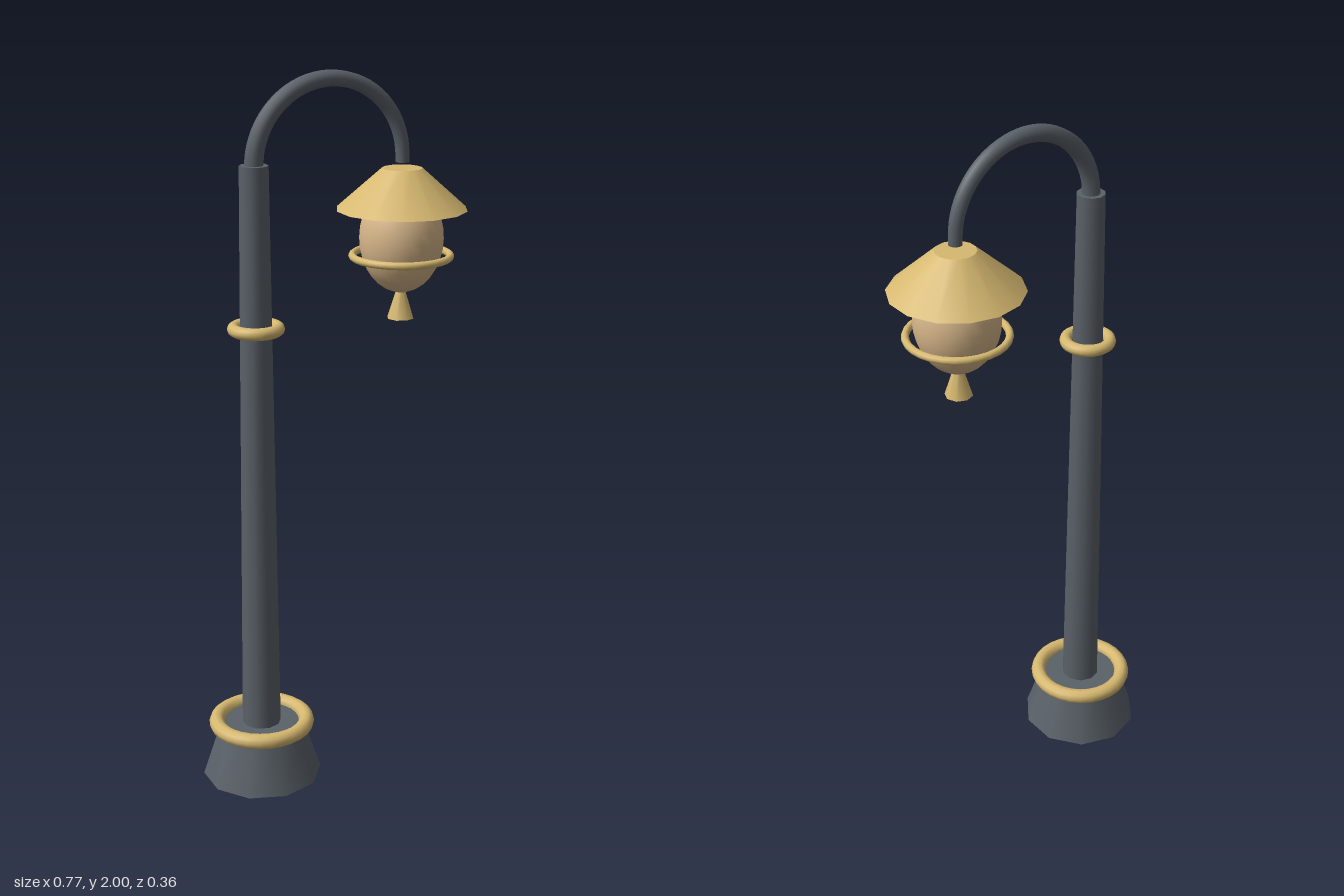
import * as THREE from 'three';

const POLE_X = -0.226, LAMP_X = 0.209;

export function createModel() {
  const model = new THREE.Group();
  model.name = 'streetLamp';
  const iron = new THREE.MeshStandardMaterial({ name: 'dark iron', color: 0x5a6168 });
  const brass = new THREE.MeshStandardMaterial({ name: 'pale brass', color: 0xd6b870 });
  const glass = new THREE.MeshStandardMaterial({ name: 'warm glass', color: 0xd8b78a });

  const add = (name, geometry, material, x, y) => {
    const mesh = new THREE.Mesh(geometry, material);
    mesh.name = name;
    mesh.position.set(x, y, 0);
    model.add(mesh);
    return mesh;
  };
  // Tapered round part standing between two heights
  const taper = (name, material, x, y0, y1, r0, r1, sides) =>
    add(name, new THREE.CylinderGeometry(r1, r0, y1 - y0, sides), material, x, (y0 + y1) / 2);
  // Horizontal ring
  const ring = (name, x, y, radius, tube) =>
    add(name, new THREE.TorusGeometry(radius, tube, 10, 28).rotateX(Math.PI / 2), brass, x, y);

  // Post
  taper('base', iron, POLE_X, 0, 0.16, 0.17, 0.118, 10);
  taper('pole', iron, POLE_X, 0.15, 1.765, 0.055, 0.039, 10);
  ring('baseRing', POLE_X, 0.16, 0.129, 0.022);
  ring('poleRing', POLE_X, 1.328, 0.061, 0.017);

  // Curved arm: a half circle with short straight ends, thinning toward the lamp
  const radius = (LAMP_X - POLE_X) / 2, midX = (LAMP_X + POLE_X) / 2, midY = 1.977 - radius;
  const points = [new THREE.Vector3(POLE_X, 1.70, 0)];
  for (let i = 0; i <= 16; i++) {
    const a = Math.PI * (1 - i / 16);
    points.push(new THREE.Vector3(midX + radius * Math.cos(a), midY + radius * Math.sin(a), 0));
  }
  points.push(new THREE.Vector3(LAMP_X, 1.743, 0));
  const path = new THREE.CatmullRomCurve3(points);
  const steps = 40, sides = 10, r0 = 0.026, r1 = 0.019;
  const arm = new THREE.TubeGeometry(path, steps, r0, sides);
  const pos = arm.attributes.position, v = new THREE.Vector3();
  for (let i = 0; i <= steps; i++) {
    const c = path.getPointAt(i / steps);
    const k = THREE.MathUtils.lerp(1, r1 / r0, i / steps);
    for (let j = 0; j <= sides; j++) {
      const n = i * (sides + 1) + j;
      v.fromBufferAttribute(pos, n).sub(c).multiplyScalar(k).add(c);
      pos.setXYZ(n, v.x, v.y, v.z);
    }
  }
  add('arm', arm, iron, 0, 0);
  add('armEnd', new THREE.CircleGeometry(r1, sides).rotateX(Math.PI / 2), iron, LAMP_X, 1.743);

  // Lantern
  taper('shade', brass, LAMP_X, 1.615, 1.727, 0.181, 0.055, 14);
  add('globe', new THREE.SphereGeometry(0.116, 24, 16), glass, LAMP_X, 1.535).scale.y = 1.3;
  ring('globeRing', LAMP_X, 1.486, 0.135, 0.0105);
  taper('finial', brass, LAMP_X, 1.31, 1.392, 0.038, 0.012, 8);

  return model;
}
